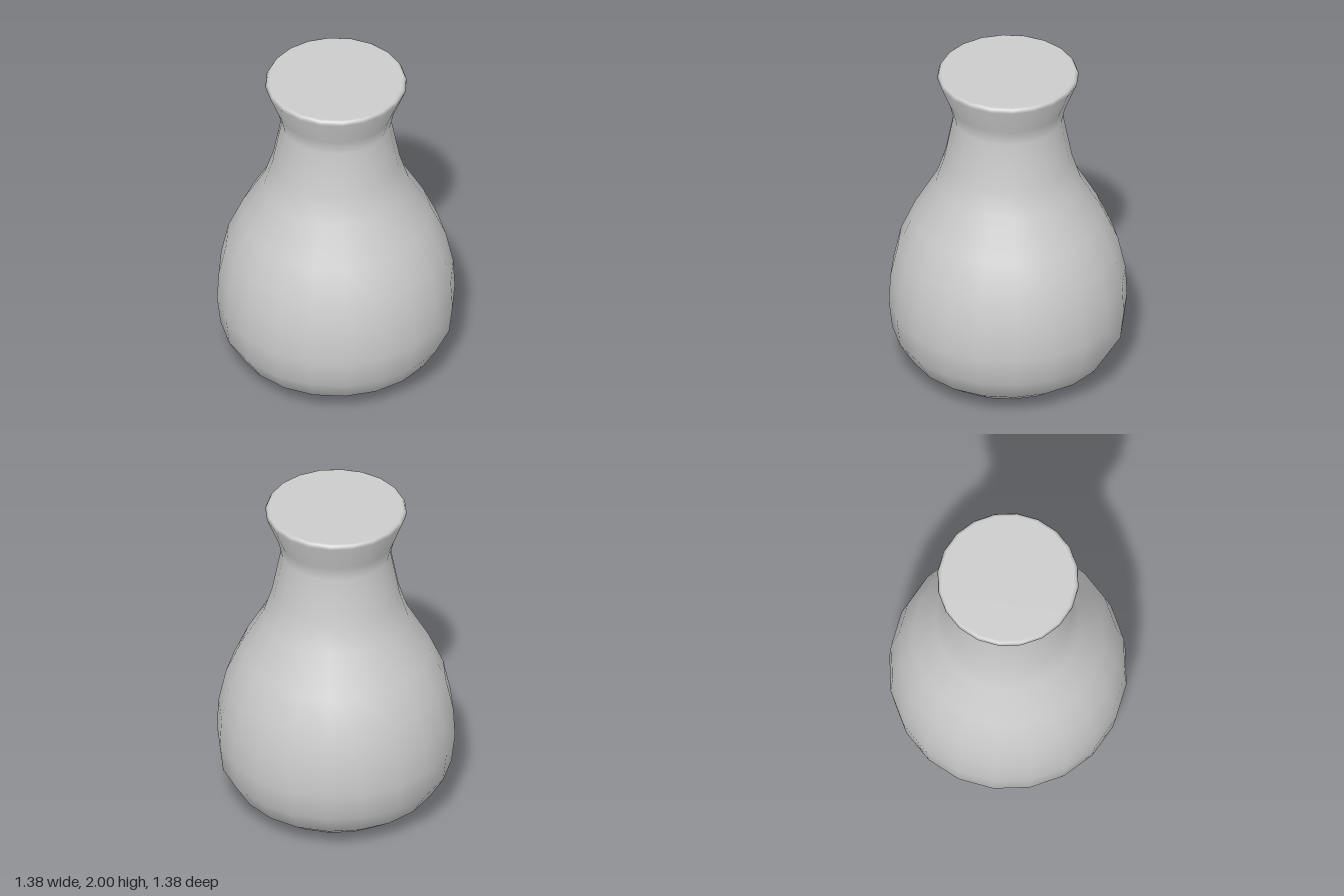
import * as THREE from 'three';

export function createModel() {
  const model = new THREE.Group();
  model.name = 'vase';
  const material = new THREE.MeshStandardMaterial({ color: 0xcccccc });

  // Closed outline [radius, height], from the base centre to the top centre
  const profile = [
    [0, 0], [0.31, 0.003], [0.45, 0.035], [0.585, 0.135], // base curve
    [0.67, 0.275], [0.69, 0.45], [0.68, 0.63], [0.637, 0.83], // belly
    [0.55, 1.03], [0.42, 1.26], [0.37, 1.42], [0.317, 1.7], // shoulder and neck
    [0.34, 1.8], [0.41, 1.975], [0.4, 1.995], [0.385, 2], [0, 2], // flared lip and flat top
  ].map(([r, y]) => new THREE.Vector2(r, y));

  // Smooth body with 20 sides
  const body = new THREE.Mesh(new THREE.LatheGeometry(profile, 20), material);
  body.name = 'vaseBody';
  model.add(body);
  return model;
}
